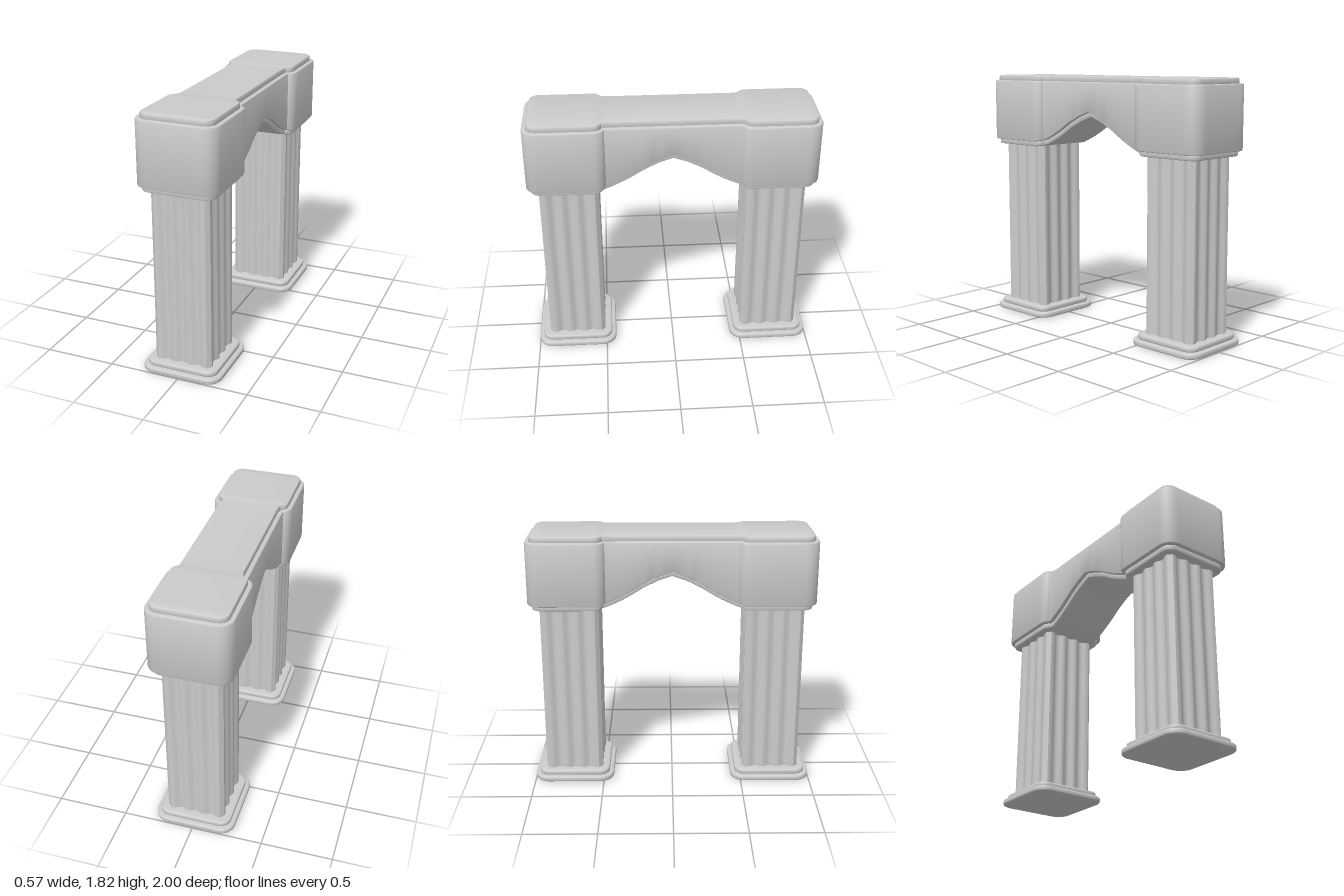
import * as THREE from 'three';
import { toCreasedNormals } from 'three/addons/utils/BufferGeometryUtils.js';

const material = new THREE.MeshStandardMaterial({ color: 0xcccccc });

function addMesh(parent, name, geometry, crease = 0.6) {
  const mesh = new THREE.Mesh(toCreasedNormals(geometry, crease), material);
  mesh.name = name;
  parent.add(mesh);
  return mesh;
}

// Half outline of the lintel in plan as (x, z): wide rounded ends, narrow waist
function lintelOutline() {
  const half = [new THREE.Vector2(0.1, 1)];
  const arc = (cx, cz, rx, rz, a0, a1, n) => {
    for (let i = 0; i <= n; i++) {
      const a = a0 + (a1 - a0) * i / n;
      half.push(new THREE.Vector2(cx + rx * Math.cos(a), cz + rz * Math.sin(a)));
    }
  };
  arc(0.185, 0.9, 0.1, 0.1, Math.PI / 2, 0, 8);
  arc(0.225, 0.535, 0.06, 0.08, 0, -1.35, 6);
  for (let i = 0; i <= 9; i++) half.push(new THREE.Vector2(0.235, 0.44 * (1 - i / 9.0)));
  const back = half.slice(0, -1).reverse().map(p => new THREE.Vector2(p.x, -p.y));
  return half.concat(back);
}

// Move an outline inwards along its normals
function inset(points, d) {
  return points.map((p, i) => {
    const a = points[Math.max(i - 1, 0)], b = points[Math.min(i + 1, points.length - 1)];
    const t = b.clone().sub(a).normalize();
    return new THREE.Vector2(p.x + t.y * d, p.y - t.x * d);
  });
}

// Rise of the pointed arch along z
const archPoints = [[0, 0.235], [0.1, 0.2], [0.2, 0.15], [0.27, 0.105], [0.36, 0.055], [0.45, 0.015], [0.52, 0]];
function archLift(z) {
  const a = Math.abs(z);
  for (let i = 1; i < archPoints.length; i++) {
    const [z0, h0] = archPoints[i - 1], [z1, h1] = archPoints[i];
    if (a <= z1) return h0 + (h1 - h0) * (a - z0) / (z1 - z0);
  }
  return 0;
}

// One bevelled layer of the lintel; arch flags bend its lower and upper faces
function lintelLayer(margin, y0, y1, bevel, archLow, archHigh) {
  const base = lintelOutline(), n = base.length, verts = [], index = [];
  const levels = [[y0, bevel, archLow], [y0 + bevel * 0.3, bevel * 0.3, archLow], [y0 + bevel, 0, archLow],
    [y1 - bevel, 0, archHigh], [y1 - bevel * 0.3, bevel * 0.3, archHigh], [y1, bevel, archHigh]];
  for (const [y, d, arch] of levels) {
    const right = inset(base, margin + d);
    const ring = right.concat(right.map(p => new THREE.Vector2(-p.x, p.y)).reverse());
    for (const p of ring) verts.push(p.x, y + (arch ? archLift(p.y) : 0), p.y);
  }
  const m = 2 * n, top = (levels.length - 1) * m;
  for (let k = 0; k < levels.length - 1; k++)
    for (let i = 0; i < m; i++) {
      const a = k * m + i, b = k * m + (i + 1) % m;
      index.push(a, b, b + m, a, b + m, a + m);
    }
  // Upper and lower faces as strips across the width
  for (let i = 0; i < n - 1; i++) {
    const r0 = i, r1 = i + 1, l0 = m - 1 - i, l1 = m - 2 - i;
    index.push(r0, l1, r1, r0, l0, l1);
    index.push(top + r0, top + r1, top + l1, top + r0, top + l1, top + l0);
  }
  const g = new THREE.BufferGeometry();
  g.setAttribute('position', new THREE.Float32BufferAttribute(verts, 3));
  g.setIndex(index);
  return g;
}

// Rounded square slab with soft edges
function slab(h, r, y0, y1, bevel) {
  const s = new THREE.Shape(), w = h - bevel, q = r - bevel;
  [[1, 1, 0], [-1, 1, 1], [-1, -1, 2], [1, -1, 3]].forEach(([x, y, k]) =>
    s.absarc(x * (w - q), y * (w - q), q, k * Math.PI / 2, (k + 1) * Math.PI / 2, false));
  s.closePath();
  const g = new THREE.ExtrudeGeometry(s, { depth: y1 - y0 - 2 * bevel, bevelEnabled: true,
    bevelThickness: bevel, bevelSize: bevel, bevelSegments: 3, curveSegments: 8 });
  return g.rotateX(-Math.PI / 2).translate(0, y0 + bevel, 0);
}

// Square shaft with chamfered corners and three flutes on each side
function shaft(y0, y1) {
  const pts = [], h = 0.205, edge = 0.178, flute = 0.162, steps = 30;
  for (let side = 0; side < 4; side++) {
    const add = (u, v) => pts.push(new THREE.Vector2(u, v).rotateAround(new THREE.Vector2(), side * Math.PI / 2));
    add(h, -edge);
    for (let i = 0; i <= steps; i++) {
      const t = i / steps;
      add(h - 0.02 * Math.sin(t * 3 * Math.PI) ** 2, -flute + 2 * flute * t);
    }
    add(h, edge);
  }
  const g = new THREE.ExtrudeGeometry(new THREE.Shape(pts), { depth: y1 - y0, bevelEnabled: false });
  return g.rotateX(-Math.PI / 2).translate(0, y0, 0);
}

export function createModel() {
  const model = new THREE.Group();
  model.name = 'archway';

  // Two columns on stepped plinths
  for (const [name, z] of [['frontColumn', 0.715], ['backColumn', -0.715]]) {
    const column = new THREE.Group();
    column.name = name;
    column.position.z = z;
    addMesh(column, 'lowerPlinth', slab(0.285, 0.1, 0, 0.04, 0.012));
    addMesh(column, 'upperPlinth', slab(0.255, 0.075, 0.038, 0.077, 0.012));
    addMesh(column, 'flutedShaft', shaft(0.07, 1.31), 0.5);
    model.add(column);
  }

  // Lintel with arched underside trim and a top cap
  const lintel = new THREE.Group();
  lintel.name = 'lintel';
  addMesh(lintel, 'archTrim', lintelLayer(0.03, 1.296, 1.345, 0.012, true, true));
  addMesh(lintel, 'lintelBody', lintelLayer(0, 1.332, 1.777, 0.01, true, false));
  addMesh(lintel, 'topCap', lintelLayer(0.03, 1.765, 1.815, 0.012, false, false));
  model.add(lintel);
  return model;
}
